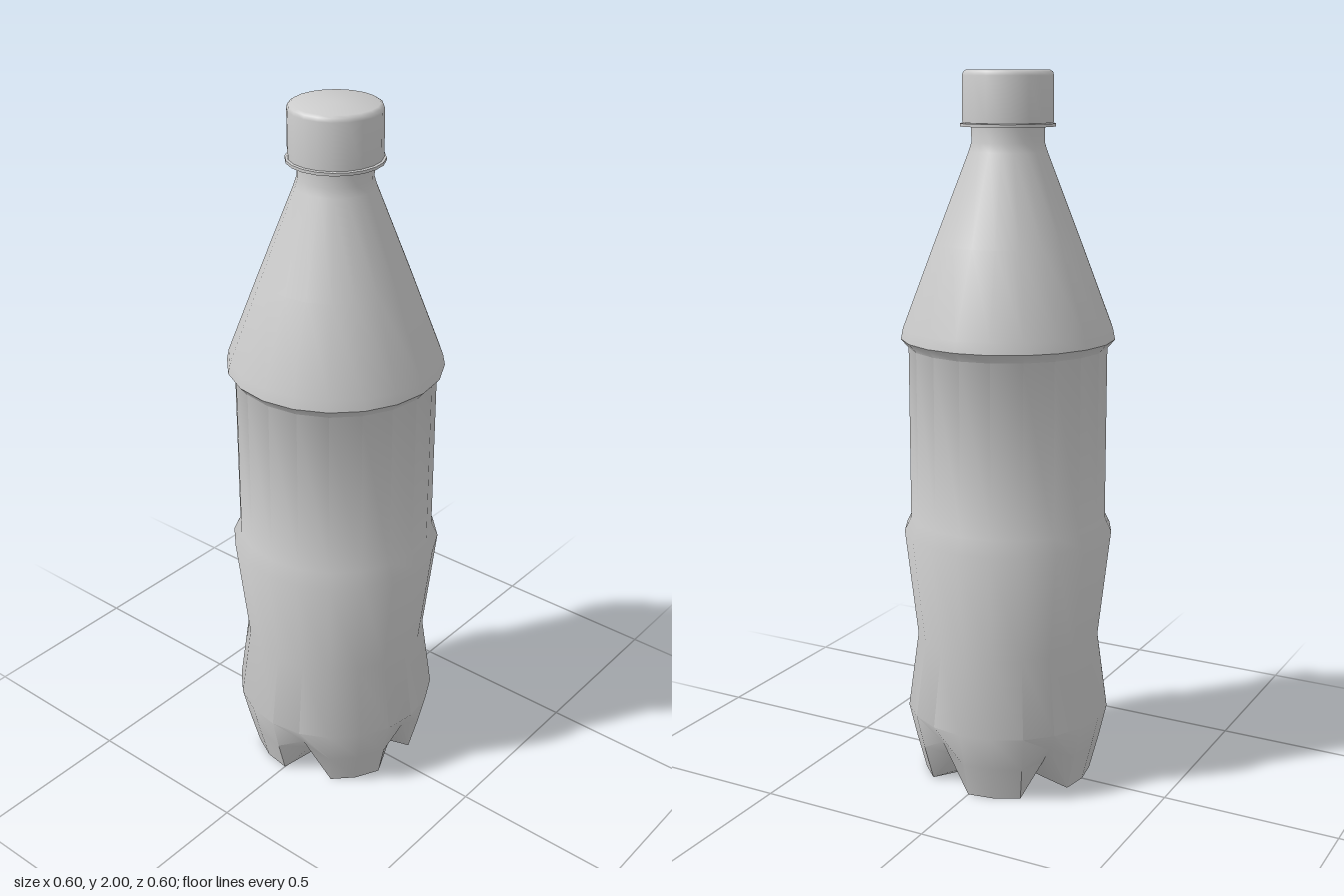
import * as THREE from 'three';
import { toCreasedNormals } from 'three/addons/utils/BufferGeometryUtils.js';

const SIDES = 20;
const material = new THREE.MeshStandardMaterial({ color: 0xcccccc, side: THREE.DoubleSide });

function lathe(profile) {
  return new THREE.LatheGeometry(profile.map(([r, y]) => new THREE.Vector2(r, y)), SIDES);
}

function part(name, geometry, crease = 0.7) {
  const mesh = new THREE.Mesh(toCreasedNormals(geometry, crease), material);
  mesh.name = name;
  return mesh;
}

export function createModel() {
  const group = new THREE.Group();
  group.name = 'bottle';

  // Base rows as [radius, height]: the five feet and the grooves between them
  const foot = [[0, 0.05], [0.14, 0], [0.242, 0], [0.268, 0.1]];
  const groove = [[0, 0.05], [0.155, 0.035], [0.22, 0.09], [0.258, 0.145]];

  // Body wall: pinched waist, recessed label band, sloping shoulder, neck
  const wall = [
    [0.291, 0.2], [0.261, 0.42], [0.296, 0.73], [0.277, 0.77], [0.277, 1.255],
    [0.298, 1.28], [0.292, 1.31], [0.204, 1.54], [0.108, 1.785], [0.1, 1.81], [0.1, 1.86],
  ];
  const profile = [...foot, ...wall];
  const body = lathe(profile);

  // Every fourth column becomes a groove
  const pos = body.attributes.position;
  for (let i = 0; i <= SIDES; i += 4) {
    const a = (i / SIDES) * Math.PI * 2;
    groove.forEach(([r, y], j) => {
      pos.setXYZ(i * profile.length + j, r * Math.sin(a), y, r * Math.cos(a));
    });
  }
  group.add(part('body', body));

  // Collar under the cap
  group.add(part('collar', lathe([[0.095, 1.852], [0.13, 1.852], [0.13, 1.86], [0.115, 1.862]]), 0.5));

  // Screw cap with a small rounded rim
  group.add(part('cap', lathe([
    [0.1, 1.862], [0.124, 1.862], [0.124, 1.985], [0.121, 1.995], [0.113, 2], [0, 2],
  ]), 0.9));

  return group;
}
